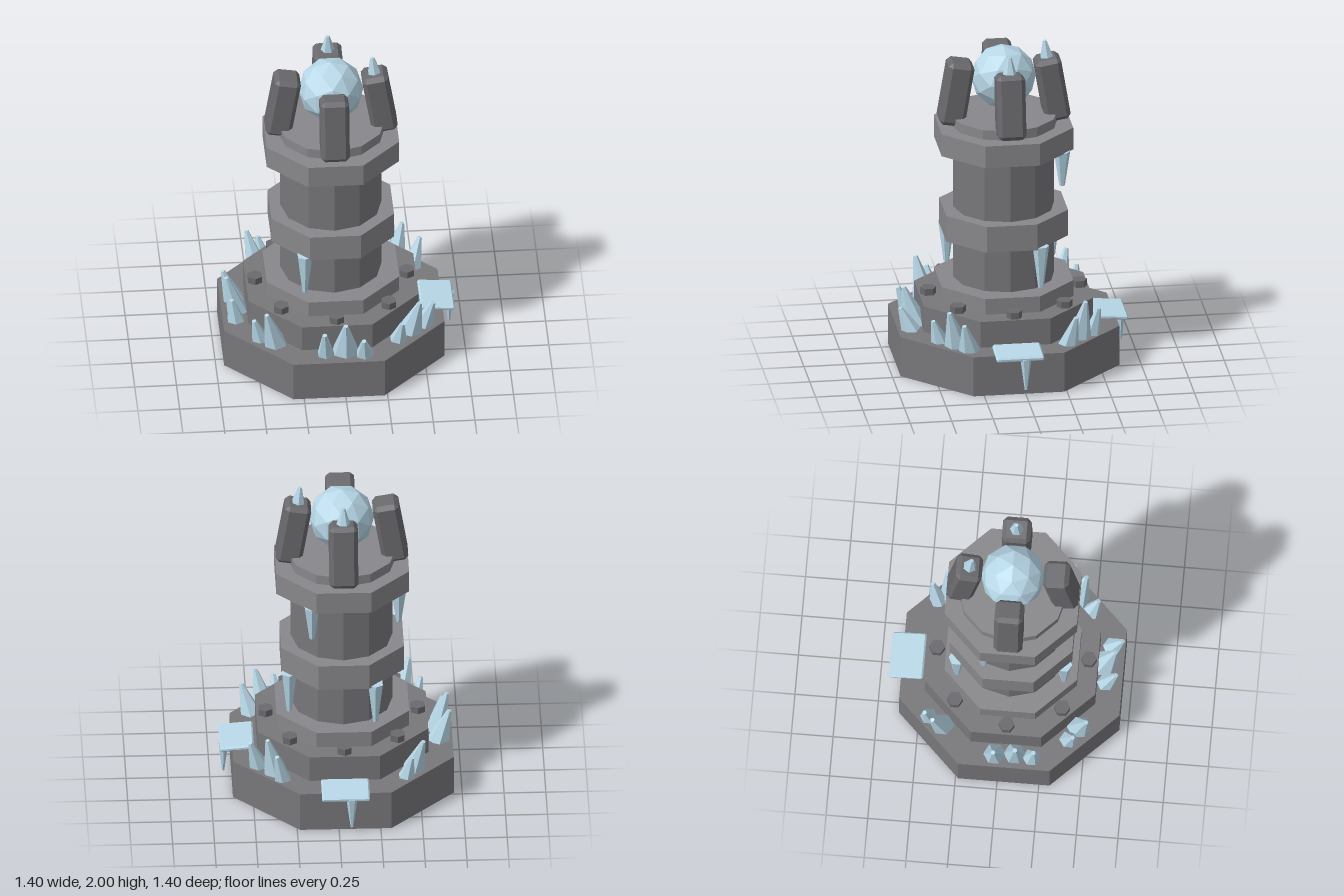
import * as THREE from 'three';
import { ConvexGeometry } from 'three/addons/geometries/ConvexGeometry.js';

const mat = (color) => new THREE.MeshStandardMaterial({ color, flatShading: true });
const stone = mat(0x78787b), trim = mat(0x88888c), dark = mat(0x6a6a6e), ice = mat(0xb8d8e8);

function add(parent, name, geometry, material, x = 0, y = 0, z = 0) {
  const m = new THREE.Mesh(geometry, material);
  m.name = name;
  m.position.set(x, y, z);
  parent.add(m);
  return m;
}

// Octagonal tier with flat sides facing the axes
function tier(parent, name, apothem, y0, y1, material) {
  const r = apothem / Math.cos(Math.PI / 8);
  const g = new THREE.CylinderGeometry(r, r, y1 - y0, 8).rotateY(Math.PI / 8);
  return add(parent, name, g, material, 0, (y0 + y1) / 2, 0);
}

// Box with every edge chamfered
function chamferBox(w, h, d, c) {
  const pts = [];
  const [x, y, z] = [w / 2, h / 2, d / 2];
  for (const i of [-1, 1]) for (const j of [-1, 1]) for (const k of [-1, 1]) {
    pts.push(
      new THREE.Vector3(i * x, j * (y - c), k * (z - c)),
      new THREE.Vector3(i * (x - c), j * y, k * (z - c)),
      new THREE.Vector3(i * (x - c), j * (y - c), k * z));
  }
  return new ConvexGeometry(pts);
}

// Six-sided ice spike from a base point to a blunt tip
function spike(parent, name, base, tip, r, rTip = 0.012) {
  const a = new THREE.Vector3(...base), dir = new THREE.Vector3(...tip).sub(a);
  const len = dir.length();
  const g = new THREE.CylinderGeometry(rTip, r, len, 6).translate(0, len / 2, 0);
  const m = add(parent, name, g, ice, ...base);
  m.quaternion.setFromUnitVectors(new THREE.Vector3(0, 1, 0), dir.normalize());
  return m;
}

export function createModel() {
  const root = new THREE.Group();
  root.name = 'iceTower';
  const tower = new THREE.Group();
  tower.name = 'tower';
  tower.position.set(-0.04, 0, 0.04);
  root.add(tower);

  // Stacked stone body
  tier(tower, 'base', 0.66, 0, 0.25, stone);
  tier(tower, 'lowerStep', 0.51, 0.25, 0.415, stone);
  tier(tower, 'upperStep', 0.397, 0.41, 0.515, trim);
  add(tower, 'column', new THREE.CylinderGeometry(0.305, 0.305, 0.9, 12), stone, 0, 0.93, 0);
  tier(tower, 'middleBand', 0.367, 0.80, 0.965, trim);
  tier(tower, 'topBand', 0.397, 1.355, 1.495, trim);
  add(tower, 'topDisc', new THREE.CylinderGeometry(0.325, 0.325, 0.07, 12), trim, 0, 1.52, 0);

  // Ring of bolts on the lower step
  for (let i = 0; i < 8; i++) {
    const a = i * Math.PI / 4;
    add(tower, 'bolt', new THREE.CylinderGeometry(0.048, 0.048, 0.05, 6), dark,
      0.455 * Math.sin(a), 0.432, 0.455 * Math.cos(a));
  }

  // Ice orb held by four inward-leaning prongs
  add(tower, 'orb', new THREE.IcosahedronGeometry(0.195, 1), ice, 0, 1.785, 0);
  for (let i = 0; i < 4; i++) {
    const arm = new THREE.Group();
    arm.name = 'prongArm';
    arm.rotation.y = i * Math.PI / 2;
    tower.add(arm);
    const p = add(arm, 'prong', chamferBox(0.158, 0.395, 0.172, 0.025), dark, 0.29, 1.702, 0);
    p.rotation.z = 0.165;
    if (i < 2) spike(arm, 'prongIce', [0.262, 1.88, 0], [0.248, 2, 0], 0.046);
  }

  // Tilted ice slabs on the right and back rim, each with an icicle below
  for (let i = 0; i < 2; i++) {
    const ledge = new THREE.Group();
    ledge.name = 'iceLedge';
    ledge.rotation.y = i * Math.PI / 2;
    tower.add(ledge);
    const s = add(ledge, 'iceSlab', chamferBox(0.205, 0.03, 0.287, 0.009), ice, 0.63, 0.254, 0);
    s.rotation.z = -0.08;
    spike(ledge, 'slabIcicle', [0.708, 0.245, -0.035], [0.71, 0.045, -0.035], 0.034, 0.008);
  }

  // Icicles hanging under the bands: x, z, top, bottom
  for (const [x, z, y0, y1] of [
    [-0.335, -0.15, 1.36, 1.14], [0.19, -0.326, 1.36, 1.14],
    [-0.18, 0.32, 0.81, 0.545], [0.32, -0.18, 0.81, 0.545], [-0.19, -0.32, 0.81, 0.545],
  ]) spike(tower, 'bandIcicle', [x, y0, z], [x, y1, z], 0.05, 0.017);

  // Crystal clusters on the rim: base x, base z, radius, tip x, tip y, tip z
  const clusters = {
    frontCrystal: [[-0.112, 0.60, 0.055, -0.124, 0.43, 0.665], [0.007, 0.58, 0.085, 0.004, 0.48, 0.65],
      [0.12, 0.62, 0.06, 0.11, 0.39, 0.685]],
    leftCrystal: [[-0.618, -0.022, 0.07, -0.683, 0.45, -0.026], [-0.607, 0.097, 0.068, -0.672, 0.49, 0.105],
      [-0.622, 0.2, 0.057, -0.648, 0.40, 0.213]],
    frontLeftCrystal: [[0.494, 0.322, 0.068, 0.55, 0.425, 0.36], [0.41, 0.385, 0.078, 0.464, 0.48, 0.438],
      [0.333, 0.476, 0.057, 0.352, 0.39, 0.52]],
    frontRightCrystal: [[-0.49, 0.41, 0.057, -0.53, 0.40, 0.438], [-0.405, 0.465, 0.074, -0.46, 0.49, 0.513]],
    backLeftCrystal: [[0.33, -0.438, 0.055, 0.367, 0.425, -0.476], [0.37, -0.356, 0.078, 0.42, 0.49, -0.39],
      [0.468, -0.28, 0.063, 0.52, 0.43, -0.318]],
    backRightCrystal: [[-0.412, -0.434, 0.054, -0.442, 0.39, -0.457], [-0.457, -0.348, 0.072, -0.513, 0.47, -0.404]],
  };
  for (const [name, list] of Object.entries(clusters)) {
    for (const [bx, bz, r, tx, ty, tz] of list) spike(root, name, [bx, 0.24, bz], [tx, ty, tz], r, 0.014);
  }
  return root;
}
